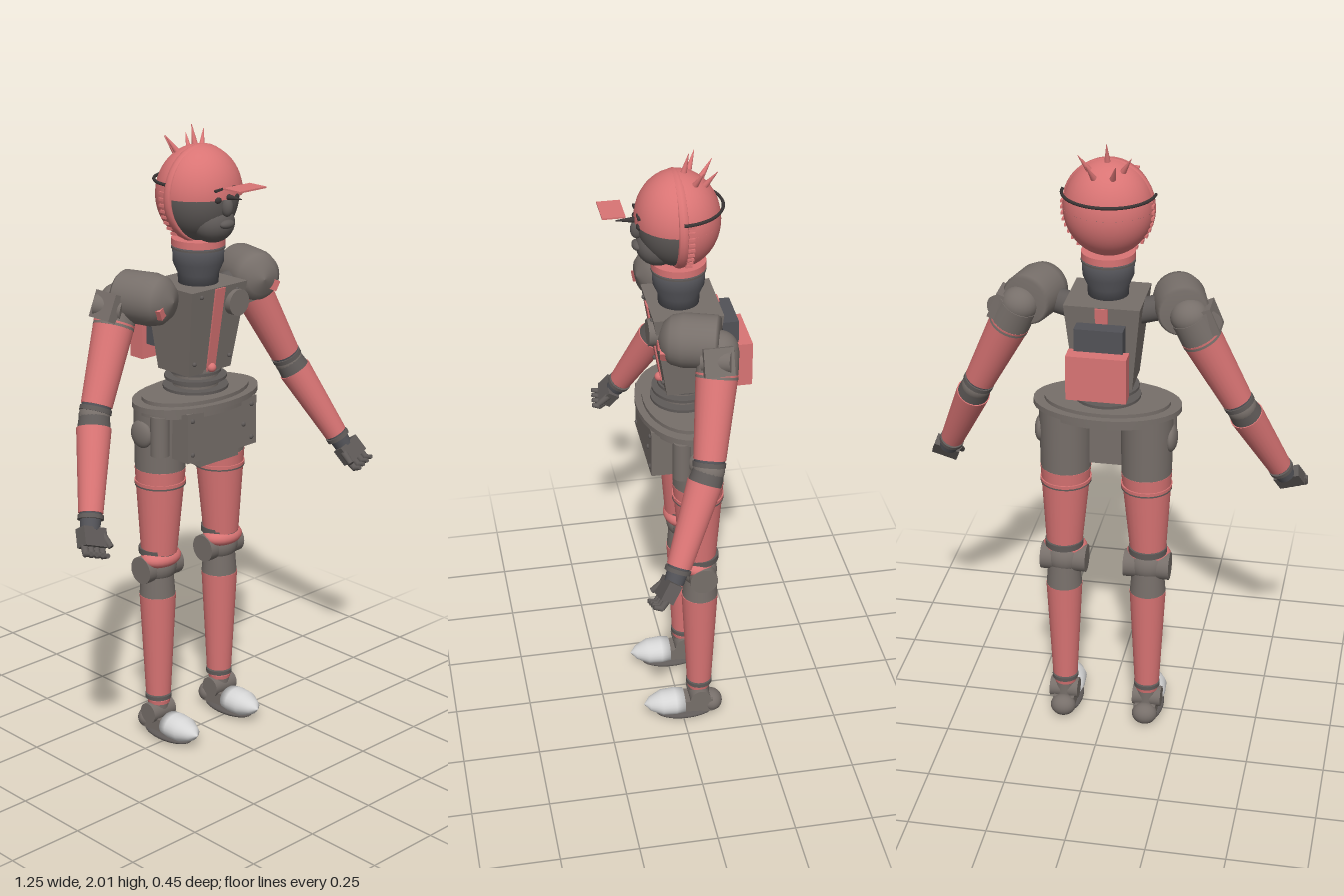
import * as THREE from 'three';

const mat = (name, color) => Object.assign(new THREE.MeshStandardMaterial({ color }), { name });
const V = (x, y, z) => new THREE.Vector3(x, y, z);

export function createModel() {
  const red = mat('red shell', 0xd97474);
  red.side = THREE.DoubleSide;
  const grey = mat('warm grey metal', 0x776f6a);
  const dark = mat('dark grey metal', 0x5f5a58);
  dark.side = THREE.DoubleSide;
  const slate = mat('slate', 0x525257);
  const black = mat('dark trim', 0x3b3636);
  const white = mat('toe white', 0xd6d6d6);

  const root = new THREE.Group();
  const add = (name, geo, m, p = [0, 0, 0], parent = root) => {
    const mesh = new THREE.Mesh(geo, m);
    mesh.name = name;
    mesh.position.set(...p);
    parent.add(mesh);
    return mesh;
  };
  const box = (name, m, size, p, parent) => add(name, new THREE.BoxGeometry(...size), m, p, parent);
  const ball = (name, m, r, p, parent) => {
    const b = add(name, new THREE.SphereGeometry(1, 24, 16), m, p, parent);
    b.scale.set(...r);
    return b;
  };
  // Round bar from a to b
  const bar = (name, m, a, b, ra, rb, parent = root) => {
    const d = b.clone().sub(a);
    const mesh = add(name, new THREE.CylinderGeometry(rb, ra, d.length(), 24), m,
      a.clone().add(b).multiplyScalar(0.5).toArray(), parent);
    mesh.quaternion.setFromUnitVectors(V(0, 1, 0), d.normalize());
    return mesh;
  };
  const disc = (name, m, rx, rz, y, h, z = -0.025) => {
    const d = add(name, new THREE.CylinderGeometry(1, 1, h, 32), m, [0, y, z]);
    d.scale.set(rx, 1, rz);
    return d;
  };
  // Box tapered towards the bottom, front and back faces leaning in
  const taper = (w1, z1a, z1b, w0, z0a, z0b, h) => {
    const g = new THREE.BoxGeometry(1, h, 1), p = g.attributes.position;
    for (let i = 0; i < p.count; i++) {
      const top = p.getY(i) > 0, front = p.getZ(i) > 0;
      p.setX(i, p.getX(i) * (top ? w1 : w0));
      p.setZ(i, top ? (front ? z1b : z1a) : (front ? z0b : z0a));
    }
    g.computeVertexNormals();
    return g;
  };

  // Head: red cap over the top and back, dark face at the lower front
  const head = new THREE.Group();
  head.name = 'head';
  head.position.set(0, 1.8, -0.008);
  root.add(head);
  const shell = (name, m, p0, p1, t0, t1, s) => {
    const h = add(name, new THREE.SphereGeometry(1, 32, 20, p0, p1, t0, t1), m, [0, 0, 0], head);
    h.scale.set(...s);
  };
  const H = Math.PI / 2;
  shell('capTop', red, 0, Math.PI * 2, 0, H, [0.138, 0.15, 0.13]);
  shell('capBack', red, Math.PI, Math.PI, H, H, [0.138, 0.15, 0.13]);
  shell('face', dark, 0, Math.PI, H, H, [0.124, 0.147, 0.122]);
  const rim = add('capRim', new THREE.TorusGeometry(0.135, 0.008, 8, 40), red, [0, 0, 0.004], head);
  rim.scale.set(1, 1.06, 2);
  ball('jaw', dark, [0.07, 0.062, 0.066], [0, -0.082, 0.06], head);
  ball('lips', dark, [0.028, 0.014, 0.016], [0, -0.078, 0.122], head);
  ball('noseTip', dark, [0.018, 0.03, 0.02], [0, -0.025, 0.122], head);
  bar('noseSpike', black, V(0, 0.006, 0.11), V(0, 0.008, 0.185), 0.012, 0.0015, head);
  for (const s of [-1, 1]) {
    ball('eye', black, [0.013, 0.01, 0.008], [s * 0.037, 0.001, 0.122], head);
    const brow = box('eyebrow', black, [0.03, 0.007, 0.008], [s * 0.036, 0.032, 0.123], head);
    brow.rotation.z = -s * 0.15;
    // Stitches behind the cap rim
    for (let i = 0; i < 9; i++) {
      const y = 0.035 - i * 0.019;
      const x = 0.139 * Math.sqrt(1 - (y / 0.152) ** 2);
      box('stitch', red, [0.008, 0.008, 0.02], [s * x, y, -0.018], head);
    }
  }
  const band = add('headBand', new THREE.TorusGeometry(0.142, 0.005, 6, 32, Math.PI), black, [0, 0.045, 0.006], head);
  band.rotation.x = -H;
  band.scale.z = 1;
  box('visor', red, [0.11, 0.005, 0.07], [0, 0.045, 0.198], head);
  for (const [x, z] of [[-0.026, -0.075], [0.03, -0.075], [-0.05, -0.042], [0.05, -0.042], [0, -0.018]]) {
    const y = 0.15 * Math.sqrt(1 - (x / 0.138) ** 2 - (z / 0.13) ** 2);
    const base = V(x, y - 0.006, z);
    const dir = V(x * 1.6, 0.14, z * 1.1 - 0.015).normalize();
    bar('capSpike', red, base, base.clone().addScaledVector(dir, 0.065), 0.01, 0.0008, head);
  }

  // Neck
  add('neck', new THREE.LatheGeometry([[0, 1.5], [0.062, 1.5], [0.064, 1.55], [0.079, 1.585], [0.081, 1.64], [0, 1.64]]
    .map(([x, y]) => new THREE.Vector2(x, y)), 32), slate, [0, 0, -0.012]);
  disc('neckRing', red, 0.083, 0.084, 1.65, 0.022, -0.012);
  disc('neckSeam', dark, 0.084, 0.084, 1.632, 0.006, -0.012);

  // Torso with a red strip front and back
  add('torso', taper(0.235, -0.13, 0.085, 0.18, -0.1, 0.04, 0.28), grey, [0, 1.38, 0]);
  add('spineStrip', taper(0.04, -0.135, 0.09, 0.035, -0.105, 0.045, 0.275), red, [0, 1.38, 0]);
  const badge = add('chestDisc', new THREE.CylinderGeometry(0.042, 0.042, 0.03, 24), grey, [0.072, 1.46, 0.082]);
  badge.rotation.x = H;
  box('chestTab', red, [0.02, 0.03, 0.03], [0.118, 1.44, 0.06]);
  for (const s of [-1, 1]) for (const y of [1.5, 1.28])
    ball('torsoRivet', dark, [0.007, 0.007, 0.006], [s * 0.075, y, y > 1.4 ? 0.083 : 0.05]);
  ball('stripStud', red, [0.015, 0.015, 0.015], [0, 1.255, 0.048]);

  // Backpack
  box('packFrame', slate, [0.15, 0.17, 0.05], [0, 1.385, -0.16]);
  box('packBox', red, [0.186, 0.145, 0.056], [0, 1.325, -0.198]);

  // Waist and pelvis
  disc('waistColumn', grey, 0.072, 0.072, 1.2, 0.1);
  for (const [r, y] of [[0.082, 1.235], [0.1, 1.215], [0.075, 1.2], [0.105, 1.183]])
    disc('waistRing', dark, r, r * 0.97, y, 0.009);
  disc('hipPlate', grey, 0.235, 0.148, 1.152, 0.018);
  disc('hipPlateTop', grey, 0.2, 0.125, 1.167, 0.012);
  disc('hipPlateUnder', grey, 0.215, 0.135, 1.134, 0.02);
  box('pelvisBox', grey, [0.297, 0.16, 0.1], [-0.002, 1.065, 0.05]);
  box('crotch', grey, [0.165, 0.19, 0.15], [0, 1.05, 0.01]);
  for (const [x, y] of [[-0.13, 1.12], [0.09, 1.06], [0.125, 1.12], [-0.13, 1.01], [0.125, 1.01]])
    ball('pelvisRivet', dark, [0.008, 0.008, 0.006], [x, y, 0.1]);

  for (const s of [-1, 1]) {
    const side = s > 0 ? 'left' : 'right';
    const P = (x, y, z) => V(s * x, y, z);

    // Leg
    const leg = new THREE.Group();
    leg.name = side + 'Leg';
    root.add(leg);
    const seg = (name, m, xa, ya, ra, xb, yb, rb, z = -0.05) =>
      bar(name, m, P(xa, ya, z), P(xb, yb, z), ra, rb, leg);
    seg('hip', grey, 0.13, 1.145, 0.083, 0.13, 0.93, 0.08);
    bar('hipSideCan', grey, P(0.185, 1.13, 0.01), P(0.185, 1, 0.01), 0.03, 0.03, leg);
    ball('hipHub', grey, [0.02, 0.045, 0.045], [s * 0.207, 1.06, -0.05], leg);
    seg('thigh', red, 0.13, 0.935, 0.081, 0.137, 0.65, 0.058);
    seg('thighBand', red, 0.13, 0.895, 0.082, 0.13, 0.88, 0.081);
    seg('thighSeam', dark, 0.13, 0.884, 0.0815, 0.13, 0.879, 0.0815);
    seg('kneeCollar', dark, 0.137, 0.665, 0.062, 0.137, 0.645, 0.062, -0.055);
    ball('kneeJoint', grey, [0.062, 0.058, 0.058], [s * 0.137, 0.6, -0.055], leg);
    bar('kneeAxle', grey, P(0.062, 0.597, -0.058), P(0.21, 0.597, -0.058), 0.045, 0.045, leg);
    ball('kneeCap', red, [0.073, 0.035, 0.055], [s * 0.137, 0.632, -0.042], leg);
    seg('shinTop', grey, 0.138, 0.6, 0.05, 0.138, 0.5, 0.058, -0.058);
    seg('shin', red, 0.138, 0.5, 0.059, 0.138, 0.15, 0.041, -0.057);
    seg('ankleRing', dark, 0.138, 0.145, 0.043, 0.138, 0.132, 0.043, -0.057);
    seg('ankle', grey, 0.138, 0.15, 0.034, 0.139, 0.06, 0.034, -0.057);
    seg('ankleCuff', red, 0.138, 0.128, 0.038, 0.138, 0.115, 0.036, -0.055);
    bar('ankleAxle', grey, P(0.093, 0.085, -0.055), P(0.187, 0.085, -0.055), 0.034, 0.034, leg);
    box('footBlock', grey, [0.07, 0.05, 0.12], [s * 0.138, 0.045, -0.04], leg);
    ball('heel', grey, [0.042, 0.036, 0.036], [s * 0.138, 0.042, -0.1], leg);
    ball('sole', dark, [0.05, 0.016, 0.1], [s * 0.138, 0.016, -0.01], leg);
    const toe = add('toeCap', new THREE.LatheGeometry(
      [[0, 0], [0.042, 0], [0.046, 0.03], [0.043, 0.075], [0.024, 0.115], [0, 0.135]]
        .map(([x, y]) => new THREE.Vector2(x, y)), 24), white, [s * 0.138, 0.053, -0.005], leg);
    toe.rotation.x = H;
    toe.scale.set(1.1, 1, 0.92);

    // Shoulder barrel with a domed front, turned slightly inward
    const arm = new THREE.Group();
    arm.name = side + 'Arm';
    root.add(arm);
    const barrel = add('shoulderBarrel', new THREE.LatheGeometry(
      [[0, -0.09], [0.072, -0.09], [0.08, -0.08], [0.082, 0.02], [0.074, 0.055], [0.052, 0.08], [0, 0.095]]
        .map(([x, y]) => new THREE.Vector2(x, y)), 32), grey, [s * 0.22, 1.508, -0.005], arm);
    barrel.rotation.set(H, 0, s * 0.28);
    const mark = box('shoulderMark', red, [0.06, 0.034, 0.03], [s * 0.228, 1.49, 0.068], arm);
    mark.rotation.set(0, -s * 0.28, -s * 0.45);
    bar('shoulderAxle', dark, P(0.08, 1.47, -0.03), P(0.2, 1.5, -0.02), 0.04, 0.04, arm);

    // Upper arm, elbow, forearm
    const S = P(0.262, 1.495, -0.085), E = P(0.42, 1.175, -0.025), W = P(0.545, 0.9, 0.095);
    const along = (a, b, t) => a.clone().lerp(b, t);
    ball('armHead', grey, [0.06, 0.055, 0.058], S.toArray(), arm);
    bar('armBracket', grey, S, along(S, E, 0.24), 0.06, 0.064, arm);
    bar('armPivot', grey, along(S, E, 0.05).add(P(0.02, 0, 0.05)), along(S, E, 0.05).add(P(0.06, 0.01, -0.03)), 0.035, 0.035, arm);
    box('armBlock', grey, [0.06, 0.085, 0.09], [s * 0.315, 1.485, -0.07], arm).rotation.z = s * 0.4;
    bar('upperArm', red, along(S, E, 0.2), along(S, E, 0.91), 0.064, 0.049, arm);
    bar('elbow', slate, along(S, E, 0.9), E, 0.046, 0.044, arm);
    bar('elbowRing', dark, along(S, E, 0.93), along(S, E, 0.97), 0.05, 0.05, arm);
    ball('elbowJoint', grey, [0.048, 0.048, 0.048], E.toArray(), arm);
    bar('elbowCuff', dark, E, along(E, W, 0.13), 0.047, 0.051, arm);
    bar('forearm', red, along(E, W, 0.12), along(E, W, 0.92), 0.054, 0.038, arm);
    bar('wrist', slate, along(E, W, 0.9), along(E, W, 1.08), 0.034, 0.03, arm);
    bar('wristRing', dark, along(E, W, 0.94), along(E, W, 0.98), 0.04, 0.04, arm);

    // Hand with four curled fingers and a thumb
    const hand = new THREE.Group();
    hand.name = side + 'Hand';
    hand.position.copy(P(0.566, 0.862, 0.125));
    hand.quaternion.setFromUnitVectors(V(0, -1, 0), P(0.32, -0.75, 0.5).normalize());
    arm.add(hand);
    box('palm', dark, [0.085, 0.06, 0.042], [0, 0, 0], hand);
    for (let i = 0; i < 4; i++) {
      const x = -0.033 + i * 0.022;
      bar('finger', dark, V(x, -0.025, 0), V(x, -0.055, 0.004), 0.011, 0.01, hand);
      bar('fingerTip', dark, V(x, -0.052, 0), V(x, -0.06, 0.028), 0.01, 0.007, hand);
    }
    bar('thumb', dark, V(-s * 0.035, 0.01, 0.01), V(-s * 0.05, -0.03, 0.025), 0.012, 0.009, hand);
  }
  return root;
}
